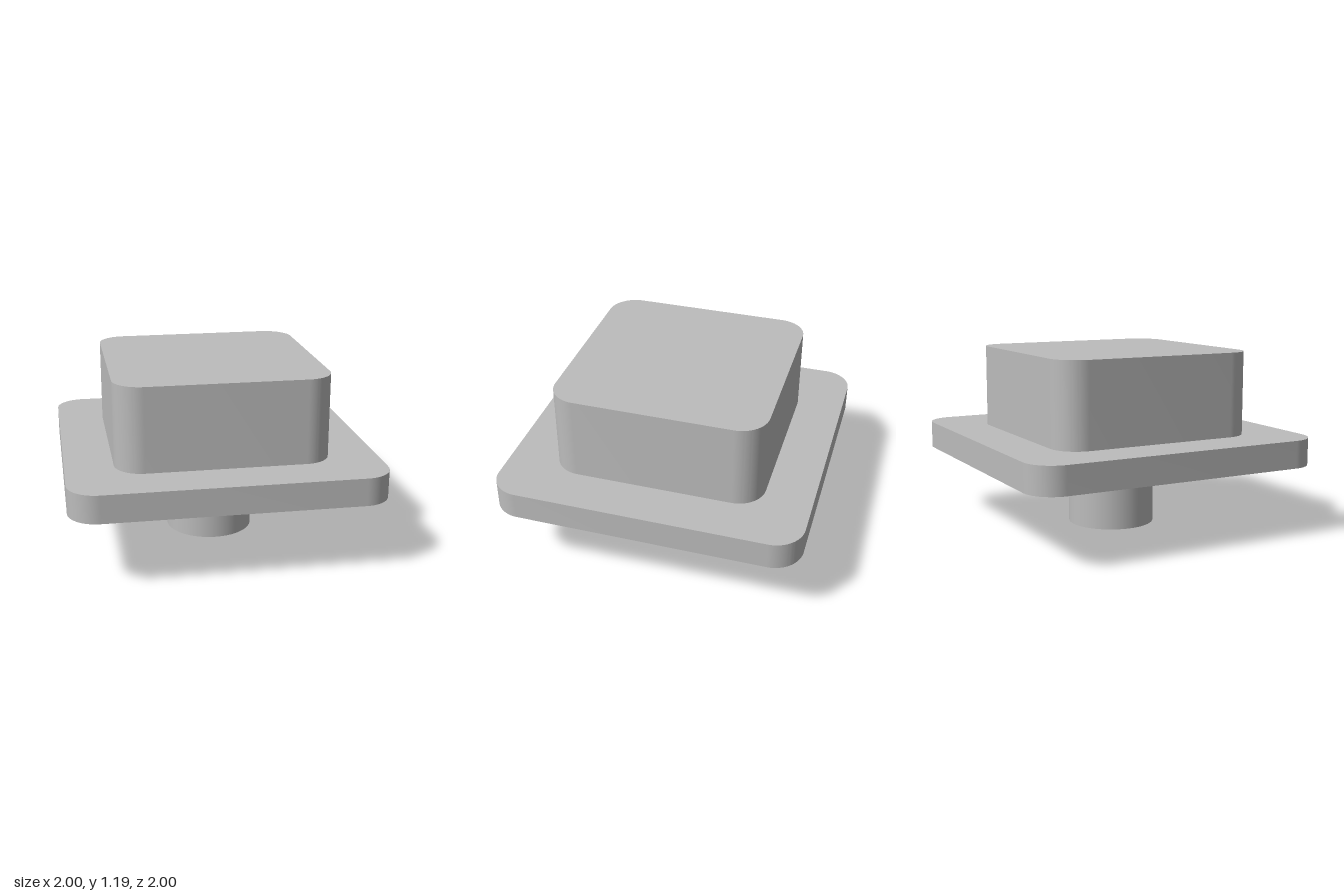
import * as THREE from 'three';
import { toCreasedNormals } from 'three/addons/utils/BufferGeometryUtils.js';

// Square slab with rounded vertical corners, standing on y = 0
function roundedSlab(half, radius, height) {
  const c = half - radius;
  const shape = new THREE.Shape();
  shape.absarc(c, c, radius, 0, Math.PI / 2);
  shape.absarc(-c, c, radius, Math.PI / 2, Math.PI);
  shape.absarc(-c, -c, radius, Math.PI, Math.PI * 1.5);
  shape.absarc(c, -c, radius, Math.PI * 1.5, Math.PI * 2);
  shape.closePath();
  const geometry = new THREE.ExtrudeGeometry(shape, { depth: height, bevelEnabled: false, curveSegments: 16 });
  geometry.rotateX(-Math.PI / 2);
  return toCreasedNormals(geometry, 0.6);
}

export function createModel() {
  const model = new THREE.Group();
  model.name = 'squareKnob';
  const grey = new THREE.MeshStandardMaterial({ color: 0xbcbcbc });
  grey.name = 'grey';

  const add = (name, geometry, y) => {
    const mesh = new THREE.Mesh(geometry, grey);
    mesh.name = name;
    mesh.position.y = y;
    model.add(mesh);
  };

  // Round stem below the flange
  add('stem', new THREE.CylinderGeometry(0.29, 0.29, 0.46, 64), 0.23);
  // Wide thin flange
  add('flange', roundedSlab(1, 0.19, 0.18), 0.46);
  // Raised block on top
  add('block', roundedSlab(0.69, 0.18, 0.55), 0.64);

  return model;
}
